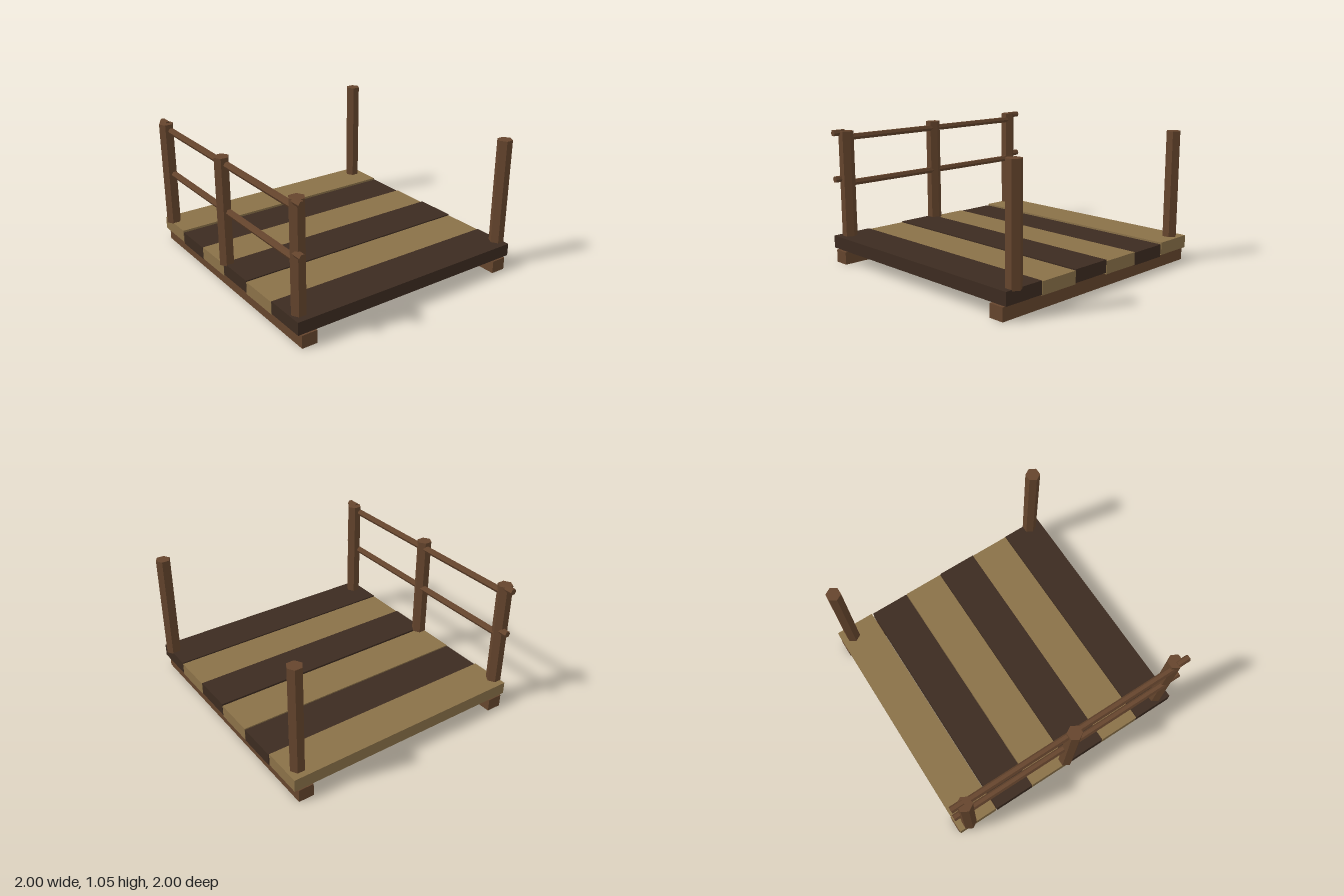
import * as THREE from 'three';

const mat = (color) => new THREE.MeshStandardMaterial({ color, flatShading: true });

export function createModel() {
  const model = new THREE.Group();
  const lightWood = mat(0x8a7148), darkWood = mat(0x3c2b20), postWood = mat(0x65452d);

  const add = (name, geometry, material, x, y, z) => {
    const mesh = new THREE.Mesh(geometry, material);
    mesh.name = name;
    mesh.position.set(x, y, z);
    model.add(mesh);
    return mesh;
  };

  // Two bearers under the deck
  for (const side of [-1, 1]) {
    add('bearer', new THREE.BoxGeometry(0.12, 0.1, 2), postWood, side * 0.88, 0.05, 0);
  }

  // Deck planks, laid slightly unevenly: [front z, back z, top y]
  [
    [1.0, 0.672, 0.209],
    [0.668, 0.334, 0.202],
    [0.332, 0.003, 0.21],
    [0.0, -0.332, 0.198],
    [-0.337, -0.662, 0.193],
    [-0.673, -0.997, 0.204],
  ].forEach(([front, back, top], i) => {
    add('plank', new THREE.BoxGeometry(1.94, 0.098, front - back),
      i % 2 ? lightWood : darkWood, 0, top - 0.049, (front + back) / 2);
  });

  // Hexagonal posts with corners towards the sides
  const postGeometry = new THREE.CylinderGeometry(0.058, 0.058, 0.84, 6).rotateY(Math.PI / 2);
  [[-0.898, 0.9], [-0.94, 0], [-0.943, -0.9], [0.94, 0.9], [0.885, -0.9]].forEach(([x, z]) => {
    add('post', postGeometry, postWood, x, 0.62, z);
  });

  // Thin hexagonal rails on the right-hand side, with raised stubs past the end posts
  const rail = (name, y, z0, z1) => {
    const g = new THREE.CylinderGeometry(0.026, 0.026, z1 - z0, 6);
    g.rotateY(Math.PI / 2).rotateX(Math.PI / 2);
    add(name, g, postWood, -0.925, y, (z0 + z1) / 2);
  };
  for (const y of [0.985, 0.623]) {
    rail('rail', y, 0, 0.9);
    rail('rail', y, -0.9, 0);
    rail('railEnd', y + 0.042, 0.9, 1);
    rail('railEnd', y + 0.042, -1, -0.9);
  }

  return model;
}
